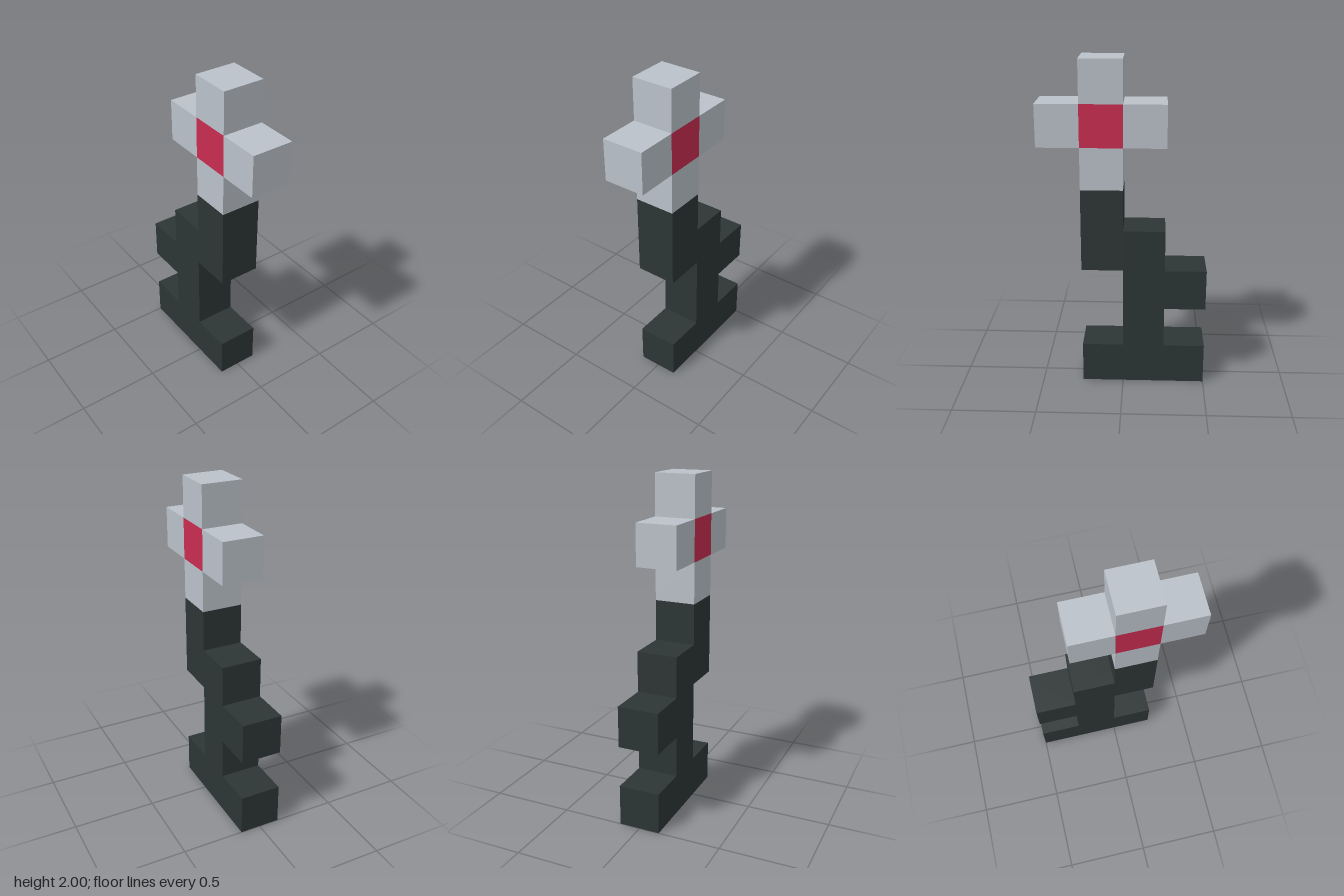
import * as THREE from 'three';

const U = 0.25; // edge of one cube

export function createModel() {
  const stemGreen = new THREE.MeshStandardMaterial({ name: 'dark green', color: 0x2d3635 });
  const petalGrey = new THREE.MeshStandardMaterial({ name: 'pale grey', color: 0xbbc2ca });
  const centreRed = new THREE.MeshStandardMaterial({ name: 'crimson', color: 0xc92d50 });

  const flower = new THREE.Group();
  flower.name = 'blockFlower';

  // Base, stepped stem and leaf as one silhouette, in cube units
  const outline = [
    [-2, 0], [1, 0], [1, 1], [0, 1], [0, 3], [1, 3], [1, 5], [0, 5],
    [0, 4], [-1, 4], [-1, 3], [-2, 3], [-2, 2], [-1, 2], [-1, 1], [-2, 1],
  ].map(([x, y]) => new THREE.Vector2(x * U, y * U));
  const stemGeometry = new THREE.ExtrudeGeometry(new THREE.Shape(outline), { depth: U, bevelEnabled: false });
  stemGeometry.translate(0, 0, -U / 2);
  const stem = new THREE.Mesh(stemGeometry, stemGreen);
  stem.name = 'stemAndBase';
  flower.add(stem);

  // Flower head: a centre cube with four petals around it
  const head = new THREE.Group();
  head.name = 'flowerHead';
  head.position.set(U / 2, 6.5 * U, 0);
  const cube = new THREE.BoxGeometry(U, U, U);
  const addCube = (name, material, x, y) => {
    const mesh = new THREE.Mesh(cube, material);
    mesh.name = name;
    mesh.position.set(x * U, y * U, 0);
    head.add(mesh);
  };
  addCube('flowerCentre', centreRed, 0, 0);
  addCube('topPetal', petalGrey, 0, 1);
  addCube('bottomPetal', petalGrey, 0, -1);
  addCube('leftPetal', petalGrey, 1, 0);
  addCube('rightPetal', petalGrey, -1, 0);
  flower.add(head);

  return flower;
}
